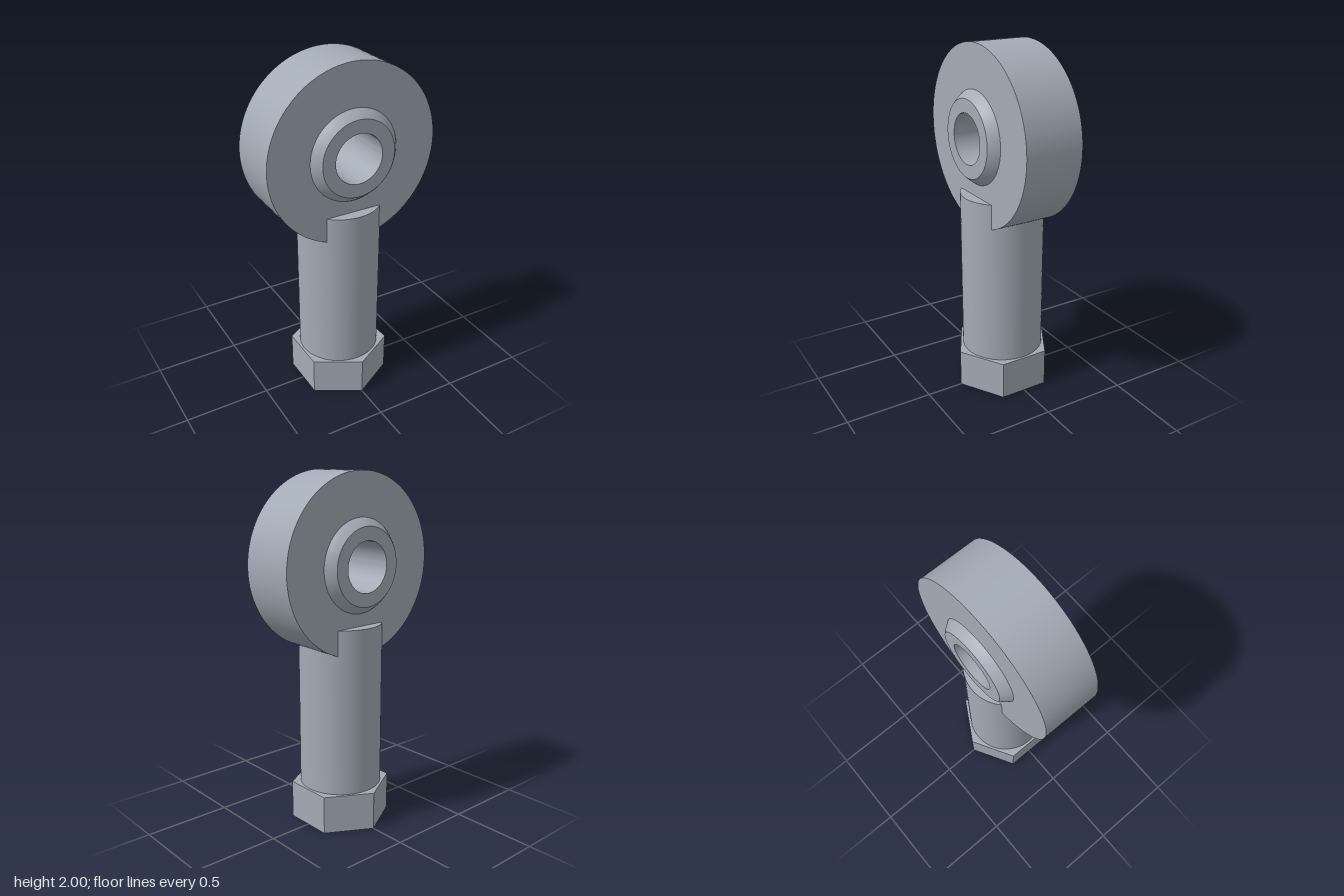
import * as THREE from 'three';
import { toCreasedNormals } from 'three/addons/utils/BufferGeometryUtils.js';

const EYE_Y = 1.5, SHANK_R = 0.235, HOLE_R = 0.132, NUT_H = 0.22;

// Revolved solid with sharp profile corners
function revolve(profile, segments = 96) {
  const points = profile.map(([r, y]) => new THREE.Vector2(r, y));
  return toCreasedNormals(new THREE.LatheGeometry(points, segments), 0.5);
}

// Hexagonal foot with corners towards front and back, and a round hole
function hexFoot() {
  const shape = new THREE.Shape();
  for (let i = 0; i < 6; i++) {
    const a = Math.PI / 2 + i * Math.PI / 3;
    const x = 0.287 * Math.cos(a), y = 0.287 * Math.sin(a);
    if (i === 0) shape.moveTo(x, y); else shape.lineTo(x, y);
  }
  shape.closePath();
  shape.holes.push(new THREE.Path().absarc(0, 0, HOLE_R, 0, Math.PI * 2, true));
  const geo = new THREE.ExtrudeGeometry(shape, { depth: NUT_H, bevelEnabled: false, curveSegments: 48 });
  return toCreasedNormals(geo.rotateX(-Math.PI / 2), 0.5);
}

// Blind bore, facing inwards, with its wall pushed into a helical thread
function threadedBore(depth, pitch) {
  const rows = Math.round(depth / pitch) * 8;
  const points = [new THREE.Vector2(0, depth)];
  for (let i = 0; i <= rows; i++) points.push(new THREE.Vector2(HOLE_R, depth * (1 - i / rows)));
  const geo = new THREE.LatheGeometry(points, 48);
  const pos = geo.attributes.position;
  for (let i = 0; i < pos.count; i++) {
    const x = pos.getX(i), y = pos.getY(i), z = pos.getZ(i);
    if (Math.hypot(x, z) < 0.01 || y < 0.003) continue;
    const t = y / pitch - Math.atan2(x, z) / (Math.PI * 2);
    const wave = Math.abs((t - Math.floor(t)) * 2 - 1);
    const k = (HOLE_R - 0.002 - 0.018 * wave) / HOLE_R;
    pos.setXYZ(i, x * k, y, z * k);
  }
  return toCreasedNormals(geo, 0.6);
}

export function createModel() {
  const model = new THREE.Group();
  const steel = new THREE.MeshStandardMaterial({ color: 0xa3abb7 });
  steel.name = 'steel';

  const add = (name, geometry, parent = model) => {
    const mesh = new THREE.Mesh(geometry, steel);
    mesh.name = name;
    parent.add(mesh);
    return mesh;
  };

  // Lower body
  add('hexFoot', hexFoot());
  add('shank', revolve([[SHANK_R, NUT_H - 0.01], [SHANK_R, 1.17], [0, 1.17]]));
  add('threadedBore', threadedBore(0.77, 0.035));

  // Eye: housing ring and swivel ball, both with their axis along z
  const eye = new THREE.Group();
  eye.name = 'eye';
  eye.position.y = EYE_Y;
  eye.rotation.x = Math.PI / 2;
  model.add(eye);

  const w = 0.167;
  add('housingRing', revolve([[0.255, -w], [0.5, -w], [0.5, w], [0.255, w], [0.255, -w]], 128), eye);

  const ballR = 0.308, half = 0.22, bore = 0.14;
  const ball = [[bore, -half]];
  for (let i = 0; i <= 24; i++) {
    const y = -half + (2 * half * i) / 24;
    ball.push([Math.sqrt(ballR * ballR - y * y), y]);
  }
  ball.push([bore, half], [bore, -half]);
  add('swivelBall', revolve(ball), eye);

  return model;
}
